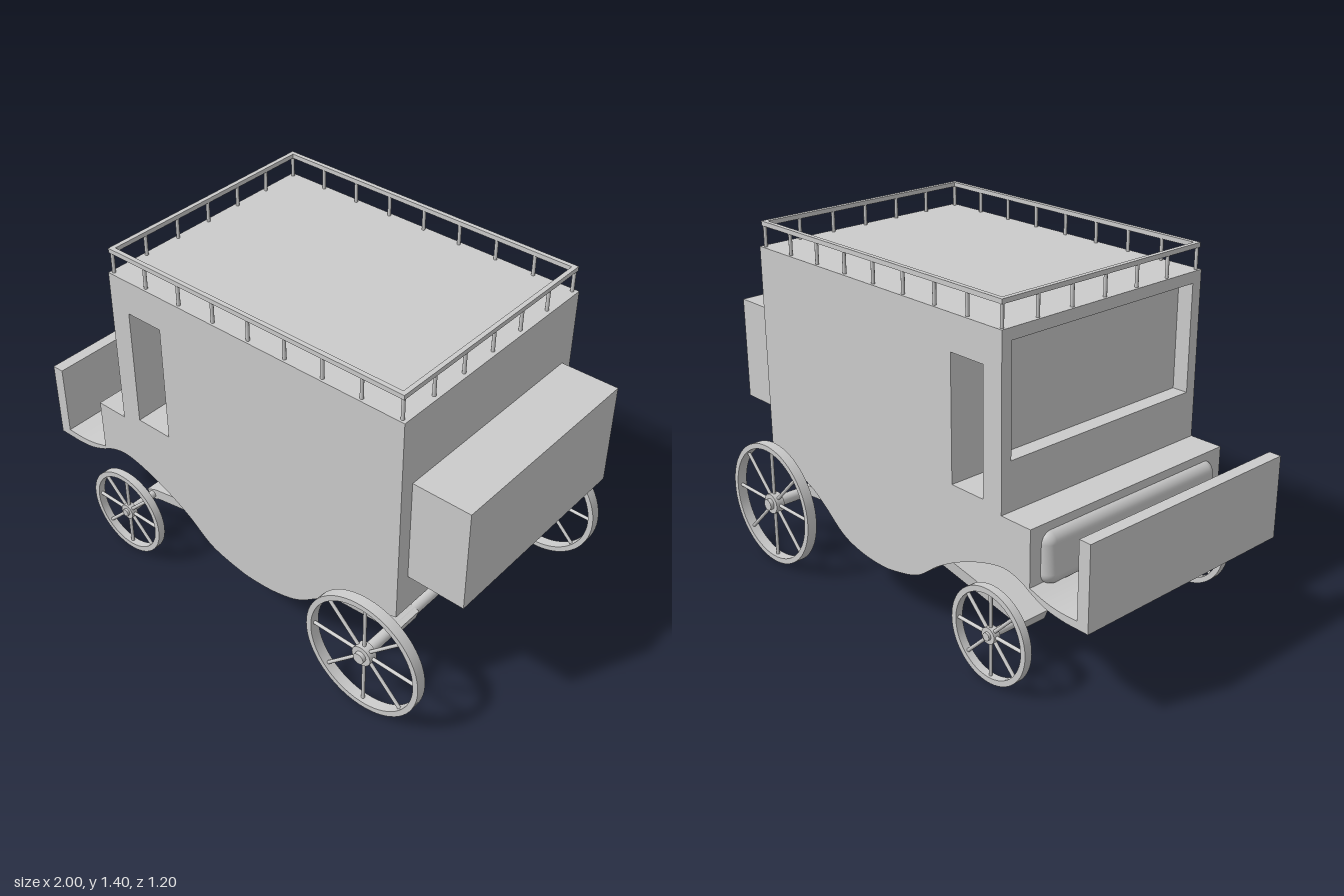
import * as THREE from 'three';
import { toCreasedNormals } from 'three/addons/utils/BufferGeometryUtils.js';
import { RoundedBoxGeometry } from 'three/addons/geometries/RoundedBoxGeometry.js';

const material = new THREE.MeshStandardMaterial({ color: 0xcccccc });

function add(parent, name, geometry, x = 0, y = 0, z = 0) {
  const mesh = new THREE.Mesh(geometry, material);
  mesh.name = name;
  mesh.position.set(x, y, z);
  parent.add(mesh);
  return mesh;
}

const box = (w, h, d) => new THREE.BoxGeometry(w, h, d);
const rod = (r, length, sides = 20) => new THREE.CylinderGeometry(r, r, length, sides);
const rodZ = (r, length) => rod(r, length, 24).rotateX(Math.PI / 2);
const points = list => list.map(([x, y]) => new THREE.Vector2(x, y));
const extrude = (shape, depth) =>
  new THREE.ExtrudeGeometry(shape, { depth, bevelEnabled: false, curveSegments: 6 });

function rectangle(x0, y0, x1, y1, Type = THREE.Shape) {
  return new Type(points([[x0, y0], [x1, y0], [x1, y1], [x0, y1]]));
}

// Side profile with a wavy underside, extruded across the coach
function bodyGeometry() {
  const shape = new THREE.Shape();
  shape.moveTo(-1, 0.69);
  shape.lineTo(-1, 0.36);
  shape.lineTo(-0.9, 0.36);
  shape.splineThru(points([
    [-0.82, 0.37], [-0.75, 0.395], [-0.68, 0.43], [-0.6, 0.445], [-0.5, 0.425], [-0.38, 0.38],
    [-0.26, 0.315], [-0.14, 0.23], [0, 0.192], [0.09, 0.185], [0.2, 0.195], [0.31, 0.23],
    [0.42, 0.31], [0.5, 0.36], [0.62, 0.405], [0.765, 0.445],
  ]));
  shape.lineTo(0.765, 1.3);
  shape.lineTo(-0.525, 1.3);
  shape.lineTo(-0.525, 0.64);
  shape.lineTo(-0.73, 0.64);
  shape.lineTo(-0.73, 0.42);
  shape.splineThru(points([[-0.8, 0.4], [-0.87, 0.39], [-0.95, 0.39]]));
  shape.lineTo(-0.95, 0.69);
  shape.holes.push(rectangle(-0.5, 0.67, -0.34, 1.16, THREE.Path));
  return toCreasedNormals(extrude(shape, 1).translate(0, 0, -0.5), 0.5);
}

// Frame around the recessed front panel
function frameGeometry() {
  const shape = rectangle(-0.5, 0.64, 0.5, 1.3);
  shape.holes.push(rectangle(-0.455, 0.83, 0.455, 1.255, THREE.Path));
  return extrude(shape, 0.065).rotateY(-Math.PI / 2);
}

// Padded cushion, bulging forward in the middle
function cushionGeometry() {
  const geometry = new RoundedBoxGeometry(0.1, 0.2, 0.9, 6, 0.045);
  const p = geometry.attributes.position;
  for (let i = 0; i < p.count; i++) {
    const lean = p.getY(i) * 0.08;
    p.setX(i, p.getX(i) + lean + 0.02 * (p.getZ(i) / 0.45) ** 2);
  }
  return geometry;
}

// Spoked wheel in the XY plane
function makeWheel(name, radius, width, hubRadius) {
  const wheel = new THREE.Group();
  wheel.name = name;
  const inner = radius - 0.022, h = width / 2;
  const rim = new THREE.LatheGeometry(
    points([[inner, -h], [radius, -h], [radius, h], [inner, h], [inner, -h]]), 64);
  add(wheel, 'rim', toCreasedNormals(rim.rotateX(Math.PI / 2), 0.5));
  add(wheel, 'hub', rodZ(hubRadius, width * 0.9));
  for (let i = 0; i < 8; i++) {
    const spoke = rod(0.007, inner, 10).translate(0, inner / 2, 0);
    add(wheel, 'spoke', spoke.rotateZ(i * Math.PI / 4));
  }
  return wheel;
}

// Support arm that widens from the axle toward the body
function armGeometry(length) {
  const shape = new THREE.Shape(points([
    [-0.025, -0.06], [0.03, -0.06], [length, -0.13], [length, 0.13], [0.03, 0.06], [-0.025, 0.06],
  ]));
  return extrude(shape, 0.045).translate(0, 0, -0.0225).rotateX(-Math.PI / 2);
}

function makeAxle(spec) {
  const axle = new THREE.Group();
  axle.name = spec.name;
  axle.position.set(spec.x, spec.radius, 0);
  add(axle, 'axleRod', rodZ(spec.axleRadius, spec.axleLength));
  for (const side of [-1, 1]) {
    const wheel = makeWheel(spec.name + 'Wheel', spec.radius, spec.width, spec.hub);
    wheel.position.z = side * spec.wheelZ;
    axle.add(wheel);
    const [dx, dy] = spec.reach;
    const arm = add(axle, 'supportArm', armGeometry(Math.hypot(dx, dy)), 0, 0, side * 0.345);
    arm.rotation.z = Math.atan2(dy, dx);
  }
  return axle;
}

// Luggage rail around the roof
function makeRoofRail() {
  const rail = new THREE.Group();
  rail.name = 'roofRail';
  const x0 = -0.575, x1 = 0.745, zEdge = 0.485, top = 1.392;
  const post = (x, z) => add(rail, 'railPost', rod(0.007, 0.1, 10), x, 1.34, z);
  for (const side of [-1, 1]) {
    const z = side * zEdge;
    add(rail, 'sideRail', box(x1 - x0 + 0.018, 0.018, 0.018), (x0 + x1) / 2, top, z);
    for (let i = 0; i <= 8; i++) post(x0 + (x1 - x0) * i / 8, z);
  }
  for (const x of [x0, x1]) {
    add(rail, 'endRail', box(0.018, 0.018, 2 * zEdge), x, top, 0);
    for (let i = 1; i < 6; i++) post(x, -zEdge + 2 * zEdge * i / 6);
  }
  return rail;
}

export function createModel() {
  const coach = new THREE.Group();
  coach.name = 'coach';
  add(coach, 'body', bodyGeometry());
  add(coach, 'frontPanelFrame', frameGeometry(), -0.525);
  add(coach, 'cushion', cushionGeometry(), -0.735, 0.51, 0);
  add(coach, 'trunk', box(0.235, 0.42, 0.885), 0.8825, 0.81, 0);
  coach.add(makeRoofRail());
  coach.add(makeAxle({
    name: 'front', x: -0.577, radius: 0.187, width: 0.032, wheelZ: 0.536, hub: 0.032,
    axleRadius: 0.016, axleLength: 1.12, reach: [0.35, 0.15],
  }));
  coach.add(makeAxle({
    name: 'rear', x: 0.68, radius: 0.256, width: 0.042, wheelZ: 0.565, hub: 0.042,
    axleRadius: 0.023, axleLength: 1.2, reach: [-0.27, 0.08],
  }));
  return coach;
}
